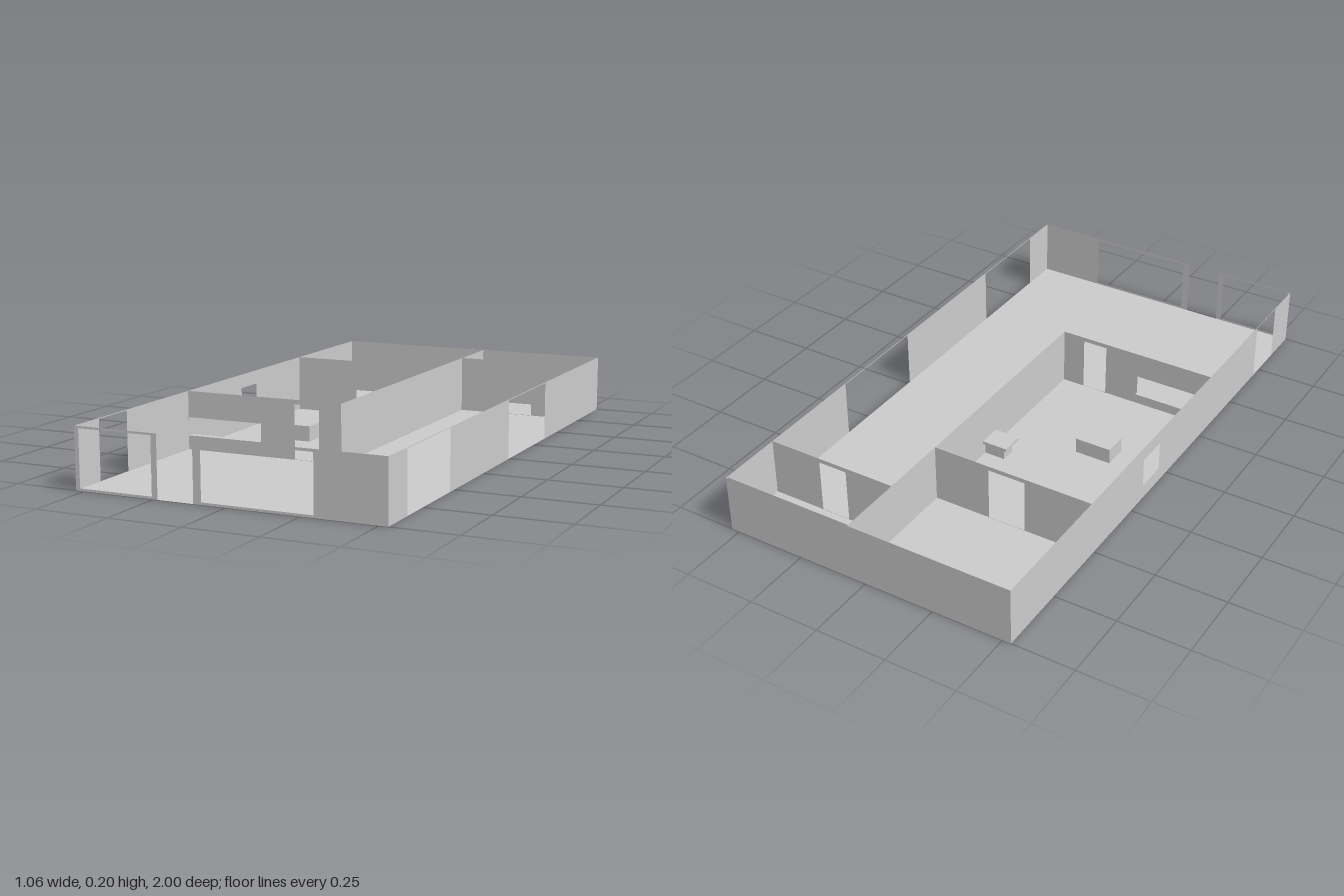
import * as THREE from 'three';

const H = 0.205, X = 0.53, Z = 1;

export function createModel() {
  const model = new THREE.Group();
  const material = new THREE.MeshStandardMaterial({ color: 0xcccccc, side: THREE.DoubleSide, flatShading: true });

  const add = (name, geometry) => {
    const mesh = new THREE.Mesh(geometry, material);
    mesh.name = name;
    model.add(mesh);
    return mesh;
  };

  const rect = (Type, u0, u1, v0, v1) => new Type([
    new THREE.Vector2(u0, v0), new THREE.Vector2(u1, v0),
    new THREE.Vector2(u1, v1), new THREE.Vector2(u0, v1)]);

  // A thin sheet from u0 to u1 with openings [u0, u1, bottom, top]
  const sheet = (u0, u1, v0, v1, openings) => {
    const shape = rect(THREE.Shape, u0, u1, v0, v1);
    for (const o of openings) shape.holes.push(rect(THREE.Path, ...o));
    return new THREE.ShapeGeometry(shape);
  };
  const wallAcross = (name, z, x0, x1, openings = [], height = H) =>
    add(name, sheet(x0, x1, 0, height, openings).translate(0, 0, z));
  const wallAlong = (name, x, z0, z1, openings = []) =>
    add(name, sheet(z0, z1, 0, H, openings).rotateY(-Math.PI / 2).translate(x, 0, 0));

  const box = (name, x0, x1, y0, y1, z0, z1) =>
    add(name, new THREE.BoxGeometry(x1 - x0, y1 - y0, z1 - z0)
      .translate((x0 + x1) / 2, (y0 + y1) / 2, (z0 + z1) / 2));

  // Floor
  add('floor', new THREE.PlaneGeometry(2 * X, 2 * Z).rotateX(-Math.PI / 2));

  // Outer walls; the front has an open entrance between its two parts
  const low = 0.001, high = 0.202;
  wallAcross('backWall', -Z, -X, X);
  wallAcross('frontWallRight', Z, -X, -0.235, [[-0.515, -0.255, 0.008, 0.198]]);
  wallAcross('frontWallLeft', Z, -0.11, X, [[-0.083, 0.293, 0.008, 0.196]]);
  wallAlong('leftWall', X, -Z, Z, [[0.535, 0.865, low, high], [-0.365, 0.01, low, high]]);
  wallAlong('rightWall', -X, -Z, Z, [[0.705, 0.865, low, high], [-0.17, -0.057, 0.05, 0.155]]);

  // Inner walls with doors and a serving hatch
  wallAlong('corridorWall', 0.055, -Z, 0.32);
  wallAcross('hatchWall', 0.32, -X, 0.055, [[-0.529, -0.247, 0.05, 0.113], [-0.118, -0.027, low, 0.19]]);
  wallAcross('bedroomWall', -0.52, -X, 0.055, [[-0.285, -0.15, low, 0.19]]);
  wallAcross('closetWall', -0.765, 0.055, X, [[0.235, 0.34, low, 0.19]]);
  wallAcross('closetLining', -0.99, 0.055, X, [], 0.2);
  add('hatchShelf', new THREE.PlaneGeometry(0.28, 0.025).rotateX(-Math.PI / 2).translate(-0.39, 0.05, 0.3125));

  // Low table
  box('table', -0.342, -0.21, 0, 0.055, -0.055, 0.03);

  // Basin: a rim with an opening over a small cabinet
  const rim = rect(THREE.Shape, -0.529, -0.46, 0.22, 0.33);
  rim.holes.push(rect(THREE.Path, -0.524, -0.474, 0.25, 0.322));
  add('basinRim', new THREE.ExtrudeGeometry(rim, { depth: 0.01, bevelEnabled: false })
    .rotateX(-Math.PI / 2).translate(0, 0.046, 0));
  box('basinCabinet', -0.529, -0.47, 0, 0.034, -0.325, -0.225);

  // Side counter against the corridor wall
  box('counterTop', -0.038, 0.054, 0.046, 0.056, -0.235, -0.152);
  box('counterBase', -0.02, 0.054, 0, 0.046, -0.22, -0.167);

  return model;
}
